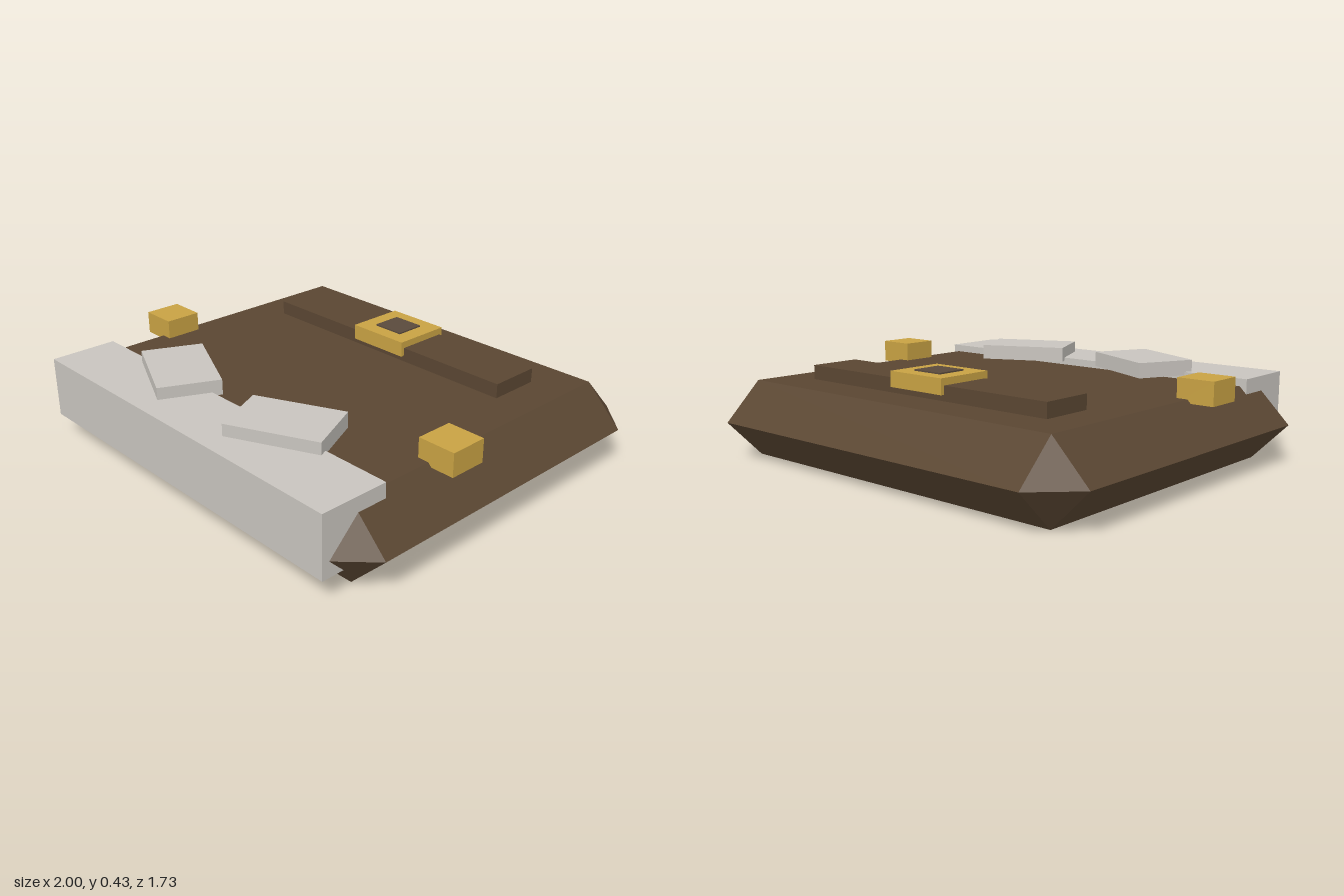
import * as THREE from 'three';
import { ConvexGeometry } from 'three/addons/geometries/ConvexGeometry.js';

const material = (name, color) => {
  const m = new THREE.MeshStandardMaterial({ color });
  m.name = name;
  return m;
};

export function createModel() {
  const group = new THREE.Group();
  const brown = material('brown leather', 0x5a4632);
  const darkInset = material('dark inset', 0x5a4a3c);
  const gold = material('gold', 0xc8a243);
  const grey = material('pale grey', 0xc8c4be);

  const add = (name, geometry, mat, x = 0, y = 0, z = 0) => {
    const mesh = new THREE.Mesh(geometry, mat);
    mesh.name = name;
    mesh.position.set(x, y, z);
    group.add(mesh);
    return mesh;
  };
  // box given by its size, its bottom height and its centre in plan
  const box = (name, mat, w, h, d, x, bottom, z) =>
    add(name, new THREE.BoxGeometry(w, h, d), mat, x, bottom + h / 2, z);

  // body: a slab with one wide bevel on every edge and triangular corners
  const bevel = 0.167, ix = 0.833, iz = 0.7;
  const points = [];
  for (const sx of [-1, 1]) for (const sz of [-1, 1]) {
    points.push(
      new THREE.Vector3(sx * ix, 0, sz * iz),
      new THREE.Vector3(sx * ix, 2 * bevel, sz * iz),
      new THREE.Vector3(sx * (ix + bevel), bevel, sz * iz),
      new THREE.Vector3(sx * ix, bevel, sz * (iz + bevel)));
  }
  add('body', new ConvexGeometry(points), brown);

  // front band with two angled flaps on top
  box('frontBand', grey, 1.73, 0.267, 0.3, 0, 0.1, 0.717);
  for (const s of [-1, 1]) {
    const side = s > 0 ? 'left' : 'right';
    box(side + 'Flap', grey, 0.4, 0.067, 0.267, s * 0.337, 0.352, 0.565).rotation.y = s * 0.436;
    box(side + 'Stud', gold, 0.167, 0.1, 0.165, s * 0.867, 0.318, 0.232);
  }

  // rear strap with buckle
  box('strap', brown, 1.333, 0.067, 0.233, 0, 0.33, -0.403);
  box('buckle', gold, 0.293, 0.067, 0.265, 0, 0.36, -0.403);
  box('buckleInset', darkInset, 0.147, 0.008, 0.135, 0, 0.425, -0.403);

  return group;
}
